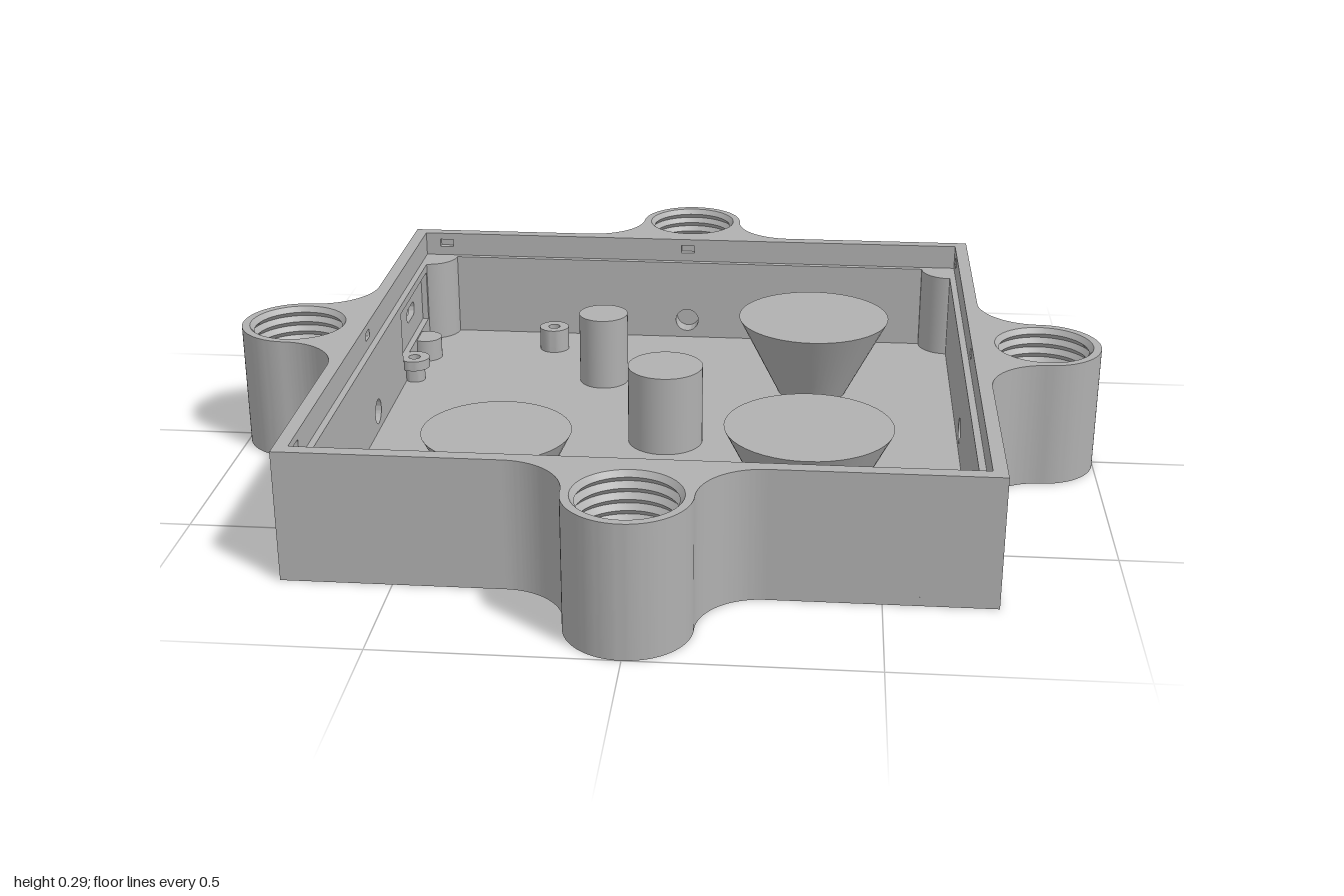
import * as THREE from 'three';
import { toCreasedNormals } from 'three/addons/utils/BufferGeometryUtils.js';

const H = 0.29, FLOOR = 0.02, LEDGE = 0.23;
const INNER = 0.69, LIP = 0.705, MID = 0.72, OUTER = 0.735;

export function createModel() {
  const model = new THREE.Group();
  model.name = 'enclosure';
  const grey = new THREE.MeshStandardMaterial({ color: 0xb0b0b0 });
  grey.name = 'grey plastic';

  const add = (parent, name, geometry, x = 0, y = 0, z = 0) => {
    const mesh = new THREE.Mesh(geometry, grey);
    mesh.name = name;
    mesh.position.set(x, y, z);
    parent.add(mesh);
    return mesh;
  };
  const extrude = (shape, depth) => toCreasedNormals(
    new THREE.ExtrudeGeometry(shape, { depth, bevelEnabled: false, curveSegments: 24 }), 0.5);

  // Hole outlines for the wall layers
  const rect = (u, y, w, h, r = 0.001) => {
    const p = new THREE.Path(), a = w / 2 - r, b = h / 2 - r;
    p.absarc(u + a, y + b, r, 0, Math.PI / 2);
    p.absarc(u - a, y + b, r, Math.PI / 2, Math.PI);
    p.absarc(u - a, y - b, r, Math.PI, Math.PI * 1.5);
    p.absarc(u + a, y - b, r, Math.PI * 1.5, Math.PI * 2);
    p.closePath();
    return p;
  };
  const circle = (u, y, r) => new THREE.Path().absarc(u, y, r, 0, Math.PI * 2);

  // One upright wall layer, facing +z
  const layer = (parent, name, from, to, top, holes) => {
    const s = new THREE.Shape();
    s.moveTo(-to, FLOOR); s.lineTo(to, FLOOR); s.lineTo(to, top); s.lineTo(-to, top);
    s.closePath();
    s.holes.push(...holes);
    add(parent, name, extrude(s, to - from), 0, 0, from);
  };

  // Mounting ear: ring blended into the wall by two quarter fillets
  const earShape = new THREE.Shape();
  earShape.moveTo(-0.265, OUTER);
  earShape.lineTo(0.265, OUTER);
  earShape.absarc(0.265, 0.87, 0.135, -Math.PI / 2, -Math.PI, true);
  earShape.absarc(0, 0.87, 0.13, 0, Math.PI, false);
  earShape.absarc(-0.265, 0.87, 0.135, 0, -Math.PI / 2, true);
  earShape.holes.push(circle(0, 0.87, 0.112));
  const earGeometry = extrude(earShape, H).rotateX(Math.PI / 2).translate(0, H, 0);

  // Thread ridges inside each ear
  const ridges = 12, profile = [];
  for (let i = 0; i <= ridges * 2; i++) {
    profile.push(new THREE.Vector2(i % 2 ? 0.102 : 0.112, H * (1 - i / (ridges * 2))));
  }
  const threadGeometry = toCreasedNormals(new THREE.LatheGeometry(profile, 48), 0.4);
  const postGeometry = new THREE.CylinderGeometry(
    0.07, 0.07, LEDGE - FLOOR, 16, 1, false, Math.PI, Math.PI / 2);

  add(model, 'floor', new THREE.BoxGeometry(OUTER * 2, FLOOR, OUTER * 2), 0, FLOOR / 2, 0);

  // Four sides, each with a wall, an ear and a corner post
  ['front', 'left', 'back', 'right'].forEach((label, k) => {
    const side = new THREE.Group();
    side.name = label + 'Side';
    side.rotation.y = k * Math.PI / 2;
    model.add(side);
    const port = label === 'right';
    const cable = () => circle(0, 0.068, 0.03);
    const slots = [rect(0, 0.263, 0.035, 0.02), rect(0.65, 0.263, 0.035, 0.02)];

    layer(side, 'innerWall', INNER, LIP, LEDGE,
      [cable(), ...(port ? [rect(-0.45, 0.145, 0.32, 0.13)] : [])]);
    layer(side, 'middleWall', LIP, MID, H,
      [cable(), ...slots, ...(port ? [rect(-0.465, 0.15, 0.09, 0.036, 0.017)] : [])]);
    layer(side, 'outerWall', MID, OUTER, H,
      [cable(), ...(port ? [rect(-0.47, 0.15, 0.17, 0.1, 0.025)] : [])]);

    add(side, 'mountingEar', earGeometry);
    add(side, 'earThread', threadGeometry, 0, 0, 0.87);
    add(side, 'cornerPost', postGeometry, INNER, (LEDGE + FLOOR) / 2, INNER);
  });

  // Solid pillars and cones standing on the floor: x, z, top radius, bottom radius, top height
  const stand = (name, x, z, rTop, rBottom, top) => add(model, name,
    new THREE.CylinderGeometry(rTop, rBottom, top - FLOOR, 48), x, (top + FLOOR) / 2, z);
  stand('centrePillar', 0, 0, 0.088, 0.088, 0.21);
  stand('smallPillar', -0.188, -0.367, 0.061, 0.061, 0.2);
  stand('backCone', 0.341, -0.344, 0.185, 0.085, 0.215);
  stand('frontCone', 0.341, 0.342, 0.185, 0.085, 0.215);
  stand('lowCone', -0.344, 0.342, 0.166, 0.085, 0.18);
  stand('supportPeg', -0.67, -0.49, 0.038, 0.038, 0.075);

  // Screw bosses with a blind hole
  const boss = (name, x, z, stem) => {
    const points = [[stem, FLOOR], [stem, 0.055], [0.038, 0.055], [0.038, 0.08],
      [0.015, 0.08], [0.015, 0.03], [0, 0.03]].map(([r, y]) => new THREE.Vector2(r, y));
    add(model, name, toCreasedNormals(new THREE.LatheGeometry(points, 32), 0.5), x, 0, z);
  };
  boss('screwBoss', -0.345, -0.58, 0.038);
  boss('flangedBoss', -0.67, -0.33, 0.025);

  return model;
}
